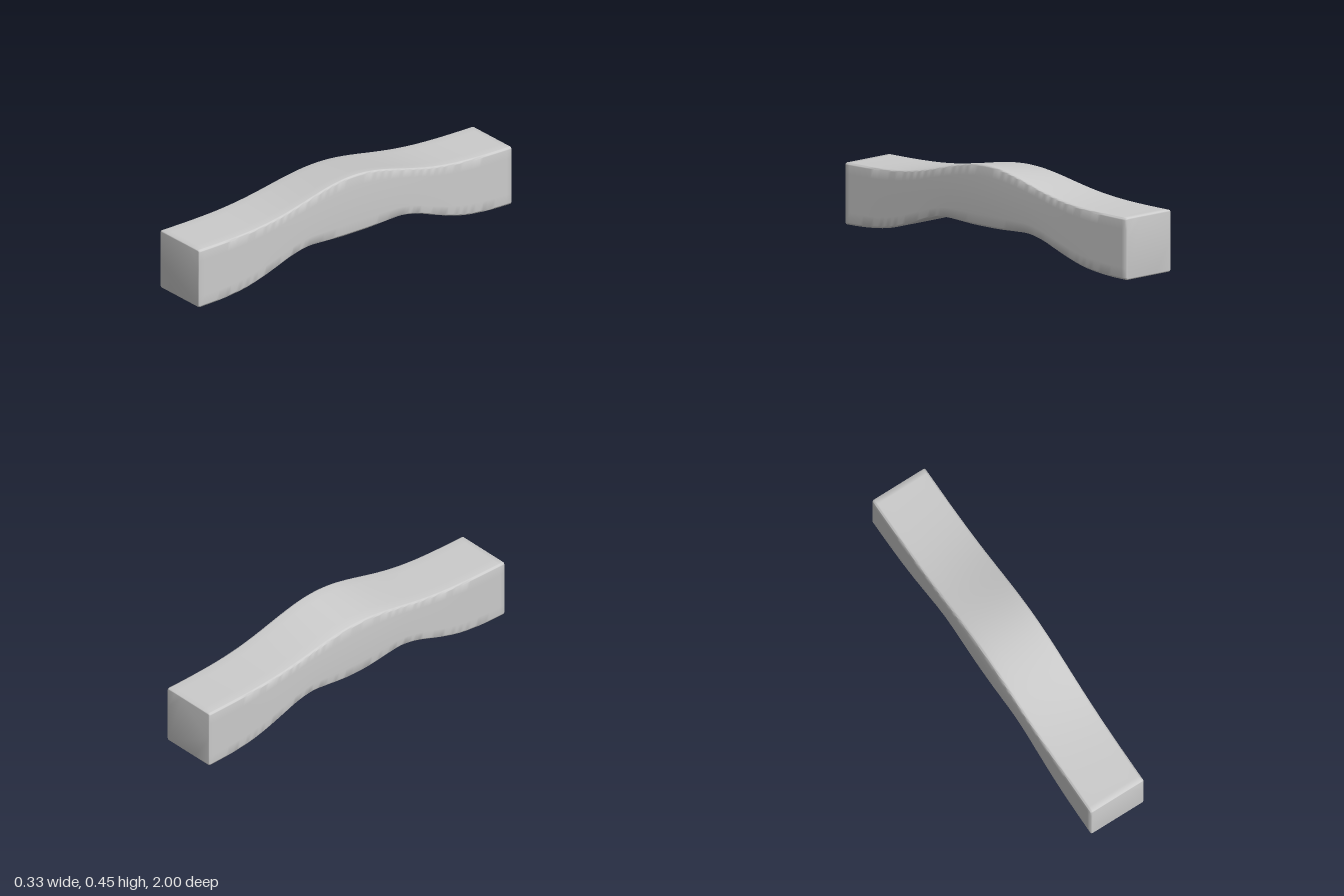
import * as THREE from 'three';
import { mergeVertices, toCreasedNormals } from 'three/addons/utils/BufferGeometryUtils.js';

const HALF = 0.159, R = 0.012, BEVEL = 0.008;

// Square section with rounded corners and subdivided sides
function sectionShape() {
  const pts = [], c = HALF - R;
  for (let k = 0; k < 4; k++) {
    const a0 = k * Math.PI / 2, centre = new THREE.Vector2(c, c).rotateAround(new THREE.Vector2(), a0);
    for (let i = 0; i <= 4; i++) {
      const a = a0 + i * Math.PI / 8;
      pts.push(new THREE.Vector2(centre.x + R * Math.cos(a), centre.y + R * Math.sin(a)));
    }
    for (let i = 1; i < 6; i++) {
      pts.push(new THREE.Vector2(c - 2 * c * i / 6, HALF).rotateAround(new THREE.Vector2(), a0));
    }
  }
  return new THREE.Shape(pts);
}

// Underside height every 0.1 from the middle to one end, mirrored
const half = [0.13, 0.131, 0.136, 0.138, 0.118, 0.083, 0.049, 0.023, 0.009, 0.002, 0];
const underside = new THREE.SplineCurve(
  [...half.slice(1).reverse(), ...half].map((y, i) => new THREE.Vector2(i / 10 - 1, y)));

const bump = (z, s) => Math.exp(-0.5 * (z / s) ** 2);

export function createModel() {
  const group = new THREE.Group();
  const length = 2 - 2 * BEVEL;
  let geo = new THREE.ExtrudeGeometry(sectionShape(), {
    depth: length, steps: 80, bevelEnabled: true, bevelSize: BEVEL,
    bevelThickness: BEVEL, bevelOffset: -BEVEL, bevelSegments: 3,
  });
  geo.translate(0, 0, -length / 2);

  // Raise the middle into a hump that leans up towards the left side
  const p = geo.attributes.position;
  for (let i = 0; i < p.count; i++) {
    const x = p.getX(i), z = p.getZ(i);
    const u = (x + HALF) / (2 * HALF), v = (p.getY(i) + HALF) / (2 * HALF);
    const top = 0.318 + (0.09 + 0.042 * u) * bump(z, 0.3);
    const t = THREE.MathUtils.clamp((z + 1) / 2, 0, 1);
    const bottom = underside.getPoint(t).y - 0.024 * (1 - u) * bump(z, 0.18);
    // The sides swell very slightly at mid length
    const swell = 1 + 0.1 * v * (1 - v) * bump(z, 0.3);
    p.setXYZ(i, x * swell, bottom + v * (top - bottom), z);
  }
  geo.deleteAttribute('normal');
  geo.deleteAttribute('uv');
  geo = toCreasedNormals(mergeVertices(geo, 1e-5), 0.8);

  const beam = new THREE.Mesh(geo, new THREE.MeshStandardMaterial({ color: 0xcccccc }));
  beam.name = 'archedBeam';
  group.add(beam);
  return group;
}
